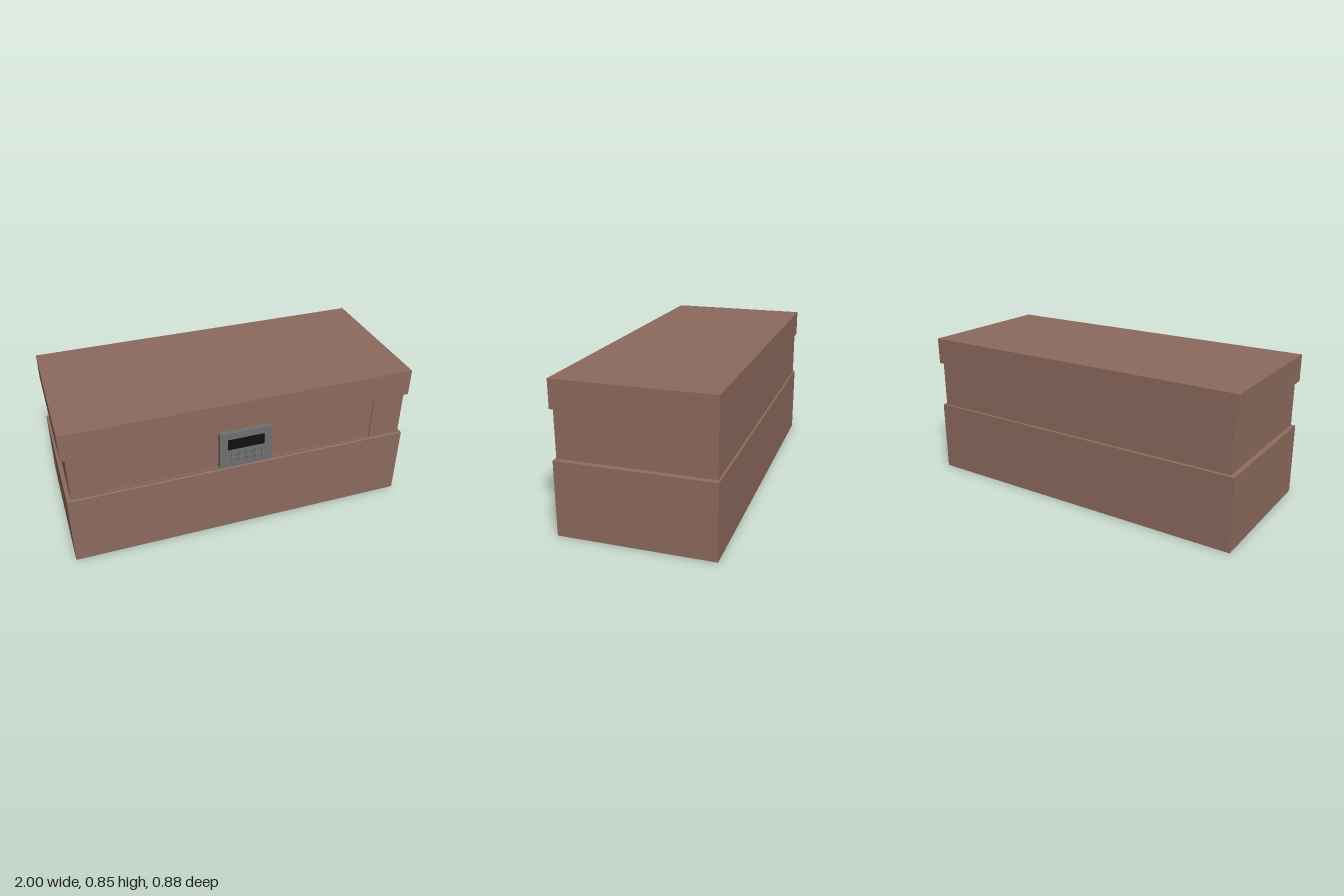
import * as THREE from 'three';

const brown = new THREE.MeshStandardMaterial({ color: 0x8d6a5d, flatShading: true });
const grey = new THREE.MeshStandardMaterial({ color: 0x6e7070, flatShading: true });
const black = new THREE.MeshStandardMaterial({ color: 0x111111, flatShading: true });

const BACK = -0.437, FRONT = 0.427; // outer depth of base and lid
const INSET = 0.023, INSET_Z = 0.009; // how far the middle band steps in
const RECESS = 0.006;

function add(parent, name, geometry, material) {
  const mesh = new THREE.Mesh(geometry, material);
  mesh.name = name;
  parent.add(mesh);
  return mesh;
}

function box(parent, name, [x0, x1], [y0, y1], [z0, z1], material) {
  const mesh = add(parent, name, new THREE.BoxGeometry(x1 - x0, y1 - y0, z1 - z0), material);
  mesh.position.set((x0 + x1) / 2, (y0 + y1) / 2, (z0 + z1) / 2);
  return mesh;
}

// Box whose top or bottom outline is drawn in over a thin bevel
function bevelledBox(parent, name, y0, y1, bevelAtTop) {
  const bevel = 0.004;
  box(parent, name, [-1, 1], bevelAtTop ? [y0, y1 - bevel] : [y0 + bevel, y1], [BACK, FRONT], brown);
  const yA = bevelAtTop ? y1 - bevel : y0;
  const rim = box(parent, name + 'Bevel', [-1, 1], [yA, yA + bevel], [BACK, FRONT], brown);
  const p = rim.geometry.attributes.position;
  for (let i = 0; i < p.count; i++) {
    if ((p.getY(i) > 0) !== bevelAtTop) continue;
    p.setX(i, p.getX(i) - Math.sign(p.getX(i)) * INSET);
    p.setZ(i, p.getZ(i) - Math.sign(p.getZ(i)) * INSET_Z);
  }
  rim.geometry.computeVertexNormals();
}

function rect(Type, x, y, w, h) {
  const s = new Type();
  s.moveTo(x - w / 2, y - h / 2);
  s.lineTo(x + w / 2, y - h / 2);
  s.lineTo(x + w / 2, y + h / 2);
  s.lineTo(x - w / 2, y + h / 2);
  s.closePath();
  return s;
}

export function createModel() {
  const group = new THREE.Group();
  group.name = 'lockBox';

  // Body: base, narrower middle band, overhanging lid
  bevelledBox(group, 'base', 0, 0.425, true);
  bevelledBox(group, 'lid', 0.69, 0.85, false);
  const hx = 1 - INSET, zf = FRONT - INSET_Z;
  box(group, 'middleBand', [-hx, hx], [0.425, 0.69], [BACK + INSET_Z, zf - RECESS], brown);

  // Frame around the shallow front recess, open toward the lid
  const frame = new THREE.Shape([
    [-hx, 0.425], [hx, 0.425], [hx, 0.69], [0.785, 0.69],
    [0.785, 0.437], [-0.785, 0.437], [-0.785, 0.69], [-hx, 0.69],
  ].map(([x, y]) => new THREE.Vector2(x, y)));
  add(group, 'frontFrame', new THREE.ExtrudeGeometry(frame, { depth: RECESS, bevelEnabled: false }), brown)
    .position.z = zf - RECESS;

  // Keypad: backing plus a face plate pierced for screen and keys
  const keypad = new THREE.Group();
  keypad.name = 'keypad';
  group.add(keypad);
  box(keypad, 'keypadBacking', [-0.153, 0.153], [0.445, 0.67], [zf - RECESS, 0.431], grey);
  const plate = rect(THREE.Shape, 0, 0.5575, 0.306, 0.225);
  plate.holes.push(rect(THREE.Path, 0, 0.592, 0.216, 0.074));
  for (const y of [0.52, 0.482]) {
    for (let i = 0; i < 4; i++) {
      const x = (i - 1.5) * 0.048;
      plate.holes.push(rect(THREE.Path, x, y, 0.038, 0.031));
      box(keypad, 'key', [x - 0.015, x + 0.015], [y - 0.011, y + 0.011], [0.431, 0.437], grey);
    }
  }
  add(keypad, 'keypadPlate', new THREE.ExtrudeGeometry(plate, { depth: 0.008, bevelEnabled: false }), grey)
    .position.z = 0.431;
  box(keypad, 'screen', [-0.108, 0.108], [0.555, 0.629], [0.431, 0.433], black);

  return group;
}
